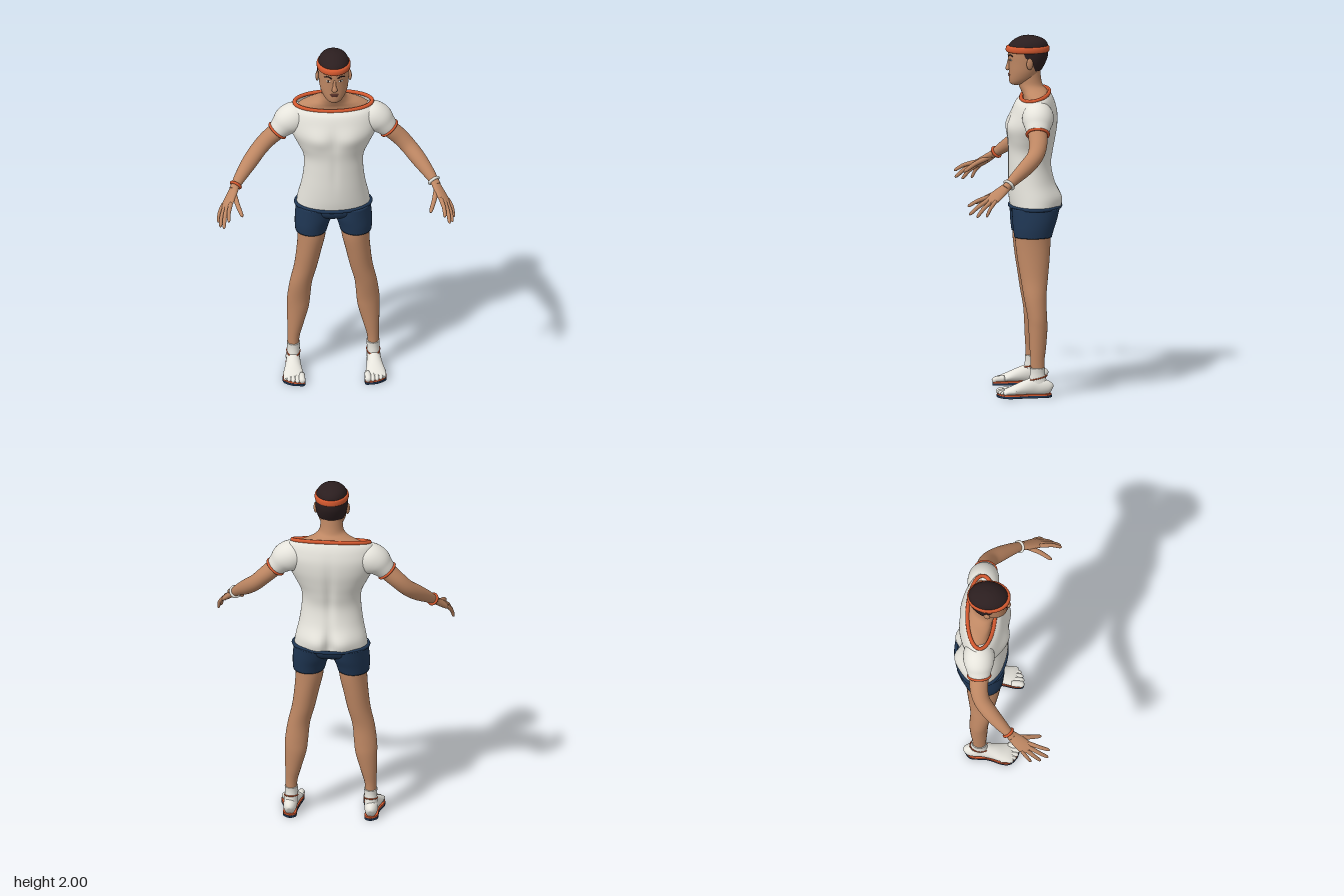
import * as THREE from 'three';

const V = (x, y, z) => new THREE.Vector3(x, y, z);
const mat = (name, color, side = THREE.FrontSide) => new THREE.MeshStandardMaterial({ name, color, side });

// Catmull-Rom through rows of numbers, k steps per gap
function smooth(rows, k = 5) {
  const w = Math.max(...rows.map(r => r.length)), out = [];
  const at = (i, c) => rows[Math.min(Math.max(i, 0), rows.length - 1)][c] || 0;
  for (let i = 0; i < rows.length - 1; i++) {
    for (let s = 0; s < k + (i === rows.length - 2 ? 1 : 0); s++) {
      const t = s / k, row = [];
      for (let c = 0; c < w; c++) {
        const [a, b, d, e] = [at(i - 1, c), at(i, c), at(i + 1, c), at(i + 2, c)];
        row.push(b + 0.5 * t * (d - a + t * (2 * a - 5 * b + 4 * d - e + t * (3 * (b - d) + e - a))));
      }
      out.push(row);
    }
  }
  return out;
}

// Upright section: [y, centreX, halfWidth, frontZ, backZ, tilt, startAngle]
function ring([y, cx, rx, zf, zb, tilt = 0, a = 0], n = 40) {
  const pts = [], cz = (zf + zb) / 2, rz = (zf - zb) / 2;
  for (let j = 0; j < (a ? n + 1 : n); j++) {
    const t = a + (2 * Math.PI - 2 * a) * j / n;
    pts.push(V(cx + rx * Math.sin(t), y + tilt * Math.cos(t), cz + rz * Math.cos(t)));
  }
  return pts;
}
const column = (rows, n, k) => smooth(rows, k).map(r => ring(r, n));

// Sections across a path: [x, y, z, radiusU, radiusV]
function limb(rows, ref = V(0, 1, 0), n = 20, k = 5) {
  const r = smooth(rows, k), p = r.map(q => V(q[0], q[1], q[2]));
  return r.map((q, i) => {
    const T = p[Math.min(i + 1, p.length - 1)].clone().sub(p[Math.max(i - 1, 0)]).normalize();
    const u = ref.clone().cross(T).normalize(), v = T.clone().cross(u);
    return Array.from({ length: n }, (_, j) => {
      const t = 2 * Math.PI * j / n;
      return p[i].clone().addScaledVector(u, q[3] * Math.cos(t)).addScaledVector(v, q[4] * Math.sin(t));
    });
  });
}

const mirror = (pts, s) => s > 0 ? pts : pts.map(p => V(-p.x, p.y, p.z)).reverse();

// Skin a surface over a stack of rings
function skinOver(rings, { s = 1, caps = true, open = false } = {}) {
  const R = rings.map(r => mirror(r, s)), n = R[0].length, pos = [], idx = [];
  R.forEach(r => r.forEach(p => pos.push(p.x, p.y, p.z)));
  for (let i = 0; i < R.length - 1; i++) {
    for (let j = 0; j < (open ? n - 1 : n); j++) {
      const a = i * n + j, b = i * n + (j + 1) % n;
      idx.push(a, b, a + n, b, b + n, a + n);
    }
  }
  if (caps && !open) [0, R.length - 1].forEach((i, end) => {
    const c = R[i].reduce((m, p) => m.add(p), V(0, 0, 0)).divideScalar(n), ci = pos.length / 3;
    pos.push(c.x, c.y, c.z);
    for (let j = 0; j < n; j++) {
      const a = i * n + j, b = i * n + (j + 1) % n;
      end ? idx.push(a, b, ci) : idx.push(b, a, ci);
    }
  });
  const g = new THREE.BufferGeometry();
  g.setAttribute('position', new THREE.Float32BufferAttribute(pos, 3));
  g.setIndex(idx);
  g.computeVertexNormals();
  return g;
}

// Tube following a closed ring
const trimOf = (pts, r) => new THREE.TubeGeometry(new THREE.CatmullRomCurve3(pts, true), 80, r, 8, true);

export function createModel() {
  const model = new THREE.Group();
  model.name = 'athlete';
  const skin = mat('skin', 0xbe8763), cloth = mat('white cloth', 0xe6e4dc, THREE.DoubleSide);
  const orange = mat('orange trim', 0xd5592f), navy = mat('navy', 0x1f3653);
  const hair = mat('dark hair', 0x2b1e1f, THREE.DoubleSide), lip = mat('lips', 0x93574a);
  const add = (name, geo, m) => {
    const mesh = new THREE.Mesh(geo, m);
    mesh.name = name;
    model.add(mesh);
    return mesh;
  };
  const ball = (name, m, p, size) => {
    const b = add(name, new THREE.SphereGeometry(1, 20, 14), m);
    b.position.set(...p);
    b.scale.set(...size);
    return b;
  };

  // Shirt body, with chest, spine and seat modelling
  const bump = (v, c, w) => Math.exp(-(((v - c) / w) ** 2));
  const shirt = column([
    [1.045, 0, .205, .012, -.265], [1.10, 0, .196, .02, -.27], [1.18, 0, .178, .024, -.238],
    [1.28, 0, .165, .024, -.218], [1.36, 0, .168, .024, -.228], [1.43, 0, .2, .028, -.24],
    [1.50, 0, .235, .028, -.25], [1.57, 0, .252, .004, -.25], [1.62, 0, .247, -.016, -.238, -.005],
    [1.65, 0, .237, -.036, -.222, -.014], [1.667, 0, .216, -.05, -.205, -.023]], 72);
  shirt.flat().forEach(p => {
    const low = bump(p.y, 1.08, .07), x = Math.abs(p.x);
    if (p.z < -.15) p.z += (.014 * bump(p.y, 1.36, .18) + .03 * low) * bump(x, 0, .025) - .012 * low * bump(x, .08, .05);
    if (p.z > -.05) p.z += .012 * bump(p.y, 1.49, .06) * (bump(x, .09, .06) - .6 * bump(x, 0, .03)) - .004 * bump(x, 0, .02) * bump(p.y, 1.3, .12);
  });
  add('shirt', skinOver(shirt, { caps: false }), cloth);
  add('neckline', trimOf(shirt.at(-1), .011), orange);
  add('waistband', trimOf(ring([1.045, 0, .209, .014, -.268]), .01), navy);

  // Shorts seat
  add('shortsSeat', skinOver(column([
    [.965, 0, .09, -.06, -.17], [.985, 0, .16, -.02, -.22], [1.01, 0, .197, .004, -.248], [1.045, 0, .204, .01, -.262]])), navy);

  // Shoulders, neck and head
  add('neck', skinOver(column([
    [1.6, 0, .2, -.045, -.215], [1.645, 0, .203, -.06, -.2, -.02], [1.675, 0, .155, -.06, -.195, -.014],
    [1.695, 0, .1, -.05, -.185, -.008], [1.72, 0, .07, -.036, -.17], [1.76, 0, .062, -.03, -.16], [1.82, 0, .06, -.03, -.155]])), skin);
  add('head', skinOver(column([
    [1.724, 0, .025, .002, -.045], [1.735, 0, .045, .014, -.09], [1.76, 0, .064, .018, -.13],
    [1.80, 0, .078, .018, -.155], [1.85, 0, .084, .02, -.18], [1.89, 0, .086, .023, -.192],
    [1.925, 0, .085, .02, -.195], [1.95, 0, .07, .0, -.18]])), skin);
  add('hairTop', skinOver(column([
    [1.915, 0, .088, .027, -.2], [1.95, 0, .083, .016, -.197], [1.975, 0, .067, -.01, -.178],
    [1.992, 0, .04, -.043, -.138], [2, 0, .006, -.08, -.098]])), hair);
  add('hairBack', skinOver(column([
    [1.805, 0, .083, .02, -.162, 0, 2.2], [1.83, 0, .087, .02, -.177, 0, 1.95], [1.86, 0, .09, .021, -.191, 0, 1.75],
    [1.885, 0, .091, .024, -.198, 0, 1.4], [1.92, 0, .09, .024, -.201, 0, 1.3]], 36), { open: true }), hair);
  add('headband', skinOver(column([
    [1.906, 0, .086, .024, -.196], [1.911, 0, .093, .034, -.206], [1.925, 0, .095, .036, -.207],
    [1.938, 0, .092, .032, -.205], [1.942, 0, .084, .022, -.196]], 48, 3)), orange);
  add('nose', skinOver(limb([[0, 1.875, .016, .007, .006], [0, 1.84, .021, .009, .009],
    [0, 1.815, .024, .016, .013], [0, 1.806, .021, .01, .008]], V(0, 0, 1))), skin);
  ball('upperLip', lip, [0, 1.783, .015], [.024, .005, .008]);
  ball('lowerLip', lip, [0, 1.775, .015], [.02, .006, .008]);

  // Sole outline, grown by g
  const sole = (s, g, y, h) => {
    const pts = [[.225, -.205], [.192, -.18], [.19, -.1], [.178, -.02], [.166, .05], [.172, .092], [.2, .094],
      [.235, .087], [.262, .07], [.284, .045], [.286, 0], [.264, -.08], [.262, -.17]];
    const shape = new THREE.Shape(new THREE.SplineCurve([...pts, pts[0]].map(([x, z]) =>
      new THREE.Vector2(s * (.228 + (x - .228) * g), .055 - (z + .055) * g))).getPoints(60).slice(0, -1));
    return new THREE.ExtrudeGeometry(shape, { depth: h, bevelEnabled: false, curveSegments: 1 }).rotateX(-Math.PI / 2).translate(0, y, 0);
  };

  for (const s of [1, -1]) {
    const side = s > 0 ? 'left' : 'right';
    const part = (name, rings, m) => add(side + name, skinOver(rings, { s }), m);

    // Face details
    ball(side + 'Ear', skin, [s * .09, 1.85, -.092], [.01, .032, .019]).rotation.y = s * .3;
    ball(side + 'Eye', cloth, [s * .034, 1.866, .0115], [.014, .006, .004]).rotation.y = s * .4;
    ball(side + 'Iris', hair, [s * .034, 1.866, .0142], [.006, .006, .003]);
    add(side + 'Brow', new THREE.TubeGeometry(new THREE.CatmullRomCurve3(
      [V(s * .016, 1.886, .021), V(s * .036, 1.894, .013), V(s * .057, 1.886, -.003)]), 12, .0038, 6), hair);

    // Sleeve and arm
    const sleeve = limb([[.13, 1.575, -.13, .06, .05], [.2, 1.575, -.13, .085, .085], [.25, 1.555, -.127, .085, .084],
      [.285, 1.522, -.124, .071, .066], [.311, 1.493, -.122, .06, .054]], V(0, 1, 0), 32);
    part('Sleeve', sleeve, cloth);
    add(side + 'Cuff', trimOf(mirror(sleeve.at(-1), s), .008), orange);
    part('Arm', limb([[.27, 1.54, -.123, .05, .046], [.315, 1.49, -.122, .053, .048], [.37, 1.438, -.12, .05, .046],
      [.42, 1.385, -.1, .046, .044], [.47, 1.335, -.05, .043, .043], [.52, 1.285, .012, .034, .034],
      [.555, 1.245, .06, .025, .024], [.565, 1.232, .075, .025, .022]], V(0, 1, 0), 28), skin);
    const wrist = limb([[.54, 1.262, .04, .031, .031], [.55, 1.25, .053, .029, .029]]);
    add(side + 'Wristband', trimOf(mirror(wrist.at(-1), s), .008), s > 0 ? cloth : orange);

    // Hand
    const back = V(.58, .72, .21);
    part('Palm', limb([[.55, 1.25, .053, .023, .021], [.573, 1.218, .095, .034, .019], [.598, 1.185, .14, .04, .016],
      [.61, 1.17, .163, .036, .012], [.615, 1.163, .172, .02, .006]], back), skin);
    [[[.583, 1.188, .17], [.6, 1.14, .285], .0115], [[.598, 1.18, .16], [.627, 1.097, .278], .012],
      [[.612, 1.172, .149], [.645, 1.085, .238], .0115], [[.627, 1.166, .135], [.655, 1.088, .185], .01],
      [[.562, 1.22, .085], [.522, 1.145, .235], .0135]].forEach(([a, b, r], i) => {
      const at = (t, f, lift) => [...a.map((v, k) => v + (b[k] - v) * t + lift * back.getComponent(k)), r * f, r * f];
      part(i < 4 ? 'Finger' + (i + 1) : 'Thumb', limb([at(-.1, .95, 0), at(.2, 1.05, .006), at(.55, .95, .01),
        at(.9, .78, .002), at(1, .3, 0)], back, 12, 3), skin);
    });

    // Shorts leg and bare leg
    part('ShortsLeg', column([[.885, .124, .088, -.004, -.212], [.93, .119, .096, .002, -.225],
      [.98, .109, .104, .006, -.242], [1.045, .105, .1, .008, -.258]]), navy);
    part('Leg', column([[.13, .222, .031, -.09, -.165], [.2, .22, .033, -.088, -.165], [.28, .21, .045, -.083, -.175],
      [.38, .197, .06, -.078, -.183], [.45, .192, .064, -.072, -.181], [.55, .18, .062, -.054, -.178],
      [.65, .155, .064, -.038, -.188], [.75, .137, .069, -.022, -.198], [.85, .122, .077, -.01, -.205],
      [.93, .12, .08, -.008, -.208]], 32), skin);

    // Sock, shoe, toes and sole
    part('Sock', column([[.06, .224, .038, -.07, -.19], [.1, .222, .036, -.08, -.175],
      [.135, .221, .035, -.085, -.168], [.165, .221, .037, -.084, -.169]]), cloth);
    add(side + 'AnkleTrim', trimOf(mirror(ring([.108, .222, .036, -.076, -.178, -.012]), s), .0035), orange);
    part('Shoe', limb([[.226, .045, -.207, .012, .018], [.226, .05, -.195, .028, .034], [.226, .056, -.16, .037, .045],
      [.224, .06, -.11, .039, .052], [.226, .05, -.05, .045, .041], [.228, .04, 0, .054, .029],
      [.227, .032, .04, .058, .02], [.226, .028, .062, .052, .012]], V(0, 1, 0), 28), cloth);
    [[.183, .1, .018], [.209, .099, .0125], [.232, .092, .012], [.254, .08, .0115], [.274, .064, .011]].forEach(([x, z, r], i) =>
      part('Toe' + (i + 1), limb([[x, .036, z - .07, r, r], [x, .034, z - .03, r, r], [x, .028, z - .01, r, r * .9],
        [x, .025, z, r * .4, r * .4]], V(0, 1, 0), 12, 3), cloth));
    add(side + 'SoleTrim', sole(s, 1, .011, .011), orange);
    add(side + 'Sole', sole(s, 1.02, 0, .012), navy);
  }
  return model;
}
